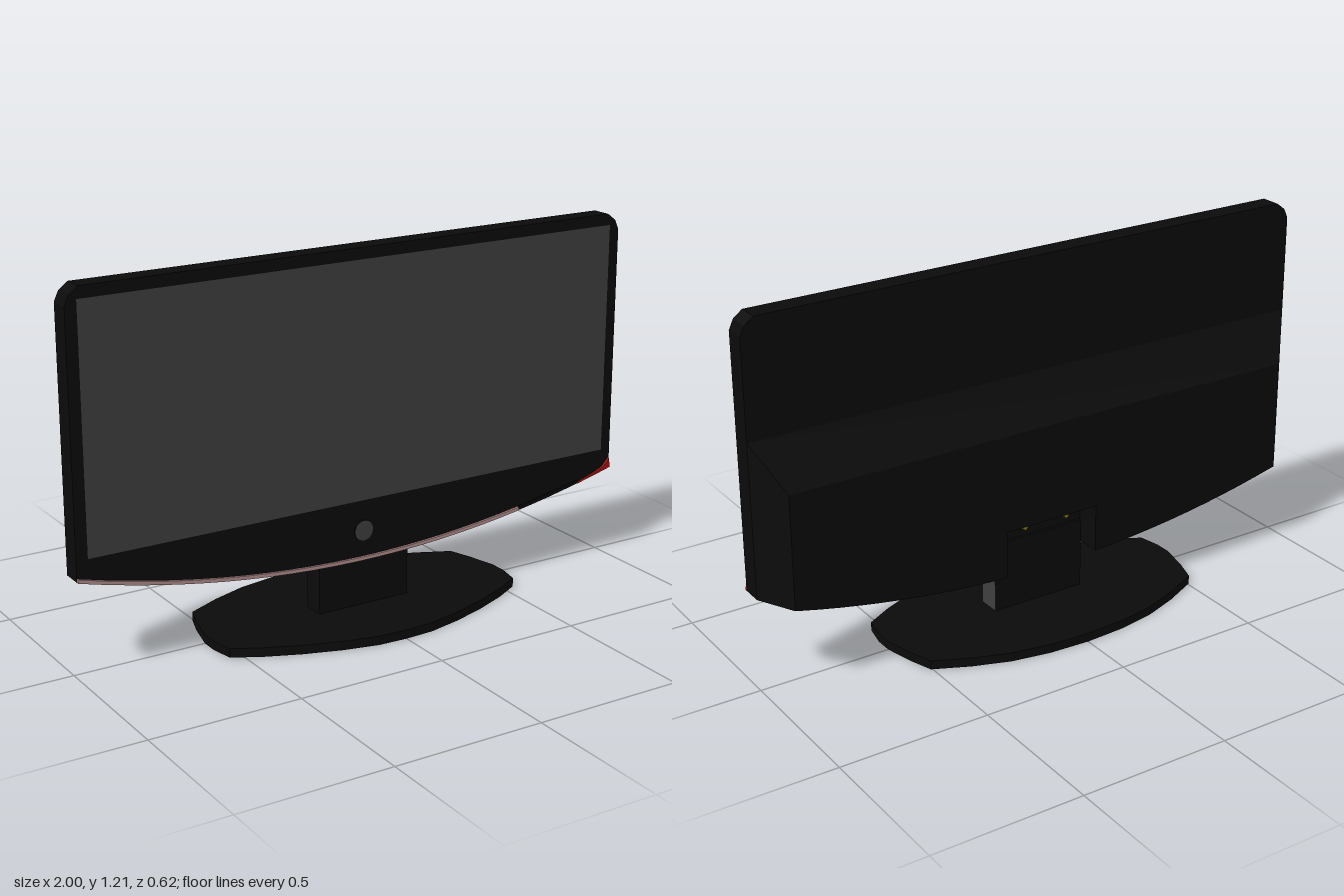
import * as THREE from 'three';

const mat = (color, side = THREE.FrontSide) =>
  new THREE.MeshStandardMaterial({ color, side, flatShading: true });
const black = mat(0x0b0b0b), grey = mat(0x404040), rose = mat(0xb89090);
const red = mat(0xb01010), yellow = mat(0x8a7a10);

// lower edge of the cabinet, sagging towards the middle
const sag = (x) => 0.185 + 0.135 * x * x;
const arc = (x0, x1, n, lift = 0) => Array.from({ length: n + 1 }, (_, i) => {
  const x = x0 + (x1 - x0) * i / n;
  return new THREE.Vector2(x, sag(x) + lift);
});

function add(group, name, geometry, material, x = 0, y = 0, z = 0) {
  const mesh = new THREE.Mesh(geometry, material);
  mesh.name = name;
  mesh.position.set(x, y, z);
  group.add(mesh);
  return mesh;
}

const slab = (points, depth) =>
  new THREE.ExtrudeGeometry(new THREE.Shape(points), { depth, bevelEnabled: false });

// thin band following the lower edge between x0 and x1
const band = (x0, x1, n, height, depth) =>
  slab([...arc(x0, x1, n), ...arc(x0, x1, n, height).reverse()], depth);

// outline of the rear housing, with a notch for the stand
function housingOutline(halfWidth, top) {
  const n = 0.17;
  return [
    ...arc(-halfWidth, -n, 10),
    new THREE.Vector2(-n, 0.35), new THREE.Vector2(n, 0.35),
    ...arc(n, halfWidth, 10),
    new THREE.Vector2(halfWidth, top), new THREE.Vector2(-halfWidth, top),
  ];
}

// walls between the two outlines, closed by the rear face
function housingGeometry() {
  const front = housingOutline(1, 0.83), back = housingOutline(0.92, 0.68);
  const n = front.length, pos = [], index = [];
  front.forEach((p, i) => pos.push(p.x, p.y, p.x * p.x > 0.99 ? -0.015 : -0.01));
  back.forEach((p) => pos.push(p.x, p.y, -0.105));
  for (let i = 0; i < n; i++) {
    const j = (i + 1) % n;
    index.push(i, n + i, n + j, i, n + j, j);
  }
  for (const [a, b, c] of THREE.ShapeUtils.triangulateShape(back, []))
    index.push(n + a, n + c, n + b);
  const g = new THREE.BufferGeometry();
  g.setAttribute('position', new THREE.Float32BufferAttribute(pos, 3));
  g.setIndex(index);
  const flat = g.toNonIndexed();
  flat.computeVertexNormals();
  return flat;
}

export function createModel() {
  const model = new THREE.Group();
  model.name = 'television';

  // front cabinet with clipped, rounded upper corners
  const outline = arc(-1, 1, 24);
  for (const side of [1, -1]) {
    const corner = [[1, 1.155], [0.985, 1.187], [0.955, 1.21]];
    if (side < 0) corner.reverse();
    corner.forEach(([x, y]) => outline.push(new THREE.Vector2(x * side, y)));
  }
  add(model, 'cabinet', slab(outline, 0.07), black, 0, 0, -0.015);
  add(model, 'rearHousing', housingGeometry(), mat(0x0b0b0b, THREE.DoubleSide));

  // screen and round button
  add(model, 'screen', new THREE.PlaneGeometry(1.925, 0.785), grey, 0, 0.78, 0.0565);
  const button = add(model, 'button', new THREE.CylinderGeometry(0.035, 0.035, 0.01, 20),
    [black, grey, grey], -0.003, 0.285, 0.055);
  button.rotation.x = Math.PI / 2;

  // trim along the lower edge, ending in a red wedge
  add(model, 'trim', band(-1, 0.61, 20, 0.012, 0.008), rose, 0, 0, 0.055);
  add(model, 'darkTrim', band(0.61, 0.86, 4, 0.012, 0.006), black, 0, 0, 0.055);
  const wedge = [...arc(0.86, 1, 4), new THREE.Vector2(0.995, 0.352),
    new THREE.Vector2(0.97, 0.325), new THREE.Vector2(0.93, 0.308)];
  add(model, 'redWedge', slab(wedge, 0.008), red, 0, 0, 0.055);

  // sockets inside the rear notch
  [-0.11, -0.06, 0.05, 0.1].forEach((x, i) => {
    const socket = add(model, 'socket', new THREE.CylinderGeometry(0.009, 0.009, 0.012, 8),
      yellow, x, 0.3 + 0.012 * (i % 2), -0.02);
    socket.rotation.x = Math.PI / 2;
  });

  // neck, with one lighter side
  add(model, 'neck', new THREE.BoxGeometry(0.335, 0.24, 0.078),
    [grey, black, black, black, black, black], 0, 0.15, 0.0145);

  // foot: two shallow arcs joined by short blunt ends
  const half = [[0, 0.305], [0.1, 0.3], [0.22, 0.272], [0.34, 0.232], [0.45, 0.185],
    [0.54, 0.135], [0.555, 0.06], [0.555, 0], [0.53, -0.105], [0.505, -0.18],
    [0.39, -0.235], [0.27, -0.278], [0.14, -0.302], [0, -0.31]];
  const foot = [...half, ...half.slice(1, -1).reverse().map(([x, z]) => [-x, z])]
    .map(([x, z]) => new THREE.Vector2(x, -z));
  const footGeometry = slab(foot, 0.03).rotateX(-Math.PI / 2);
  add(model, 'foot', footGeometry, black);

  return model;
}
